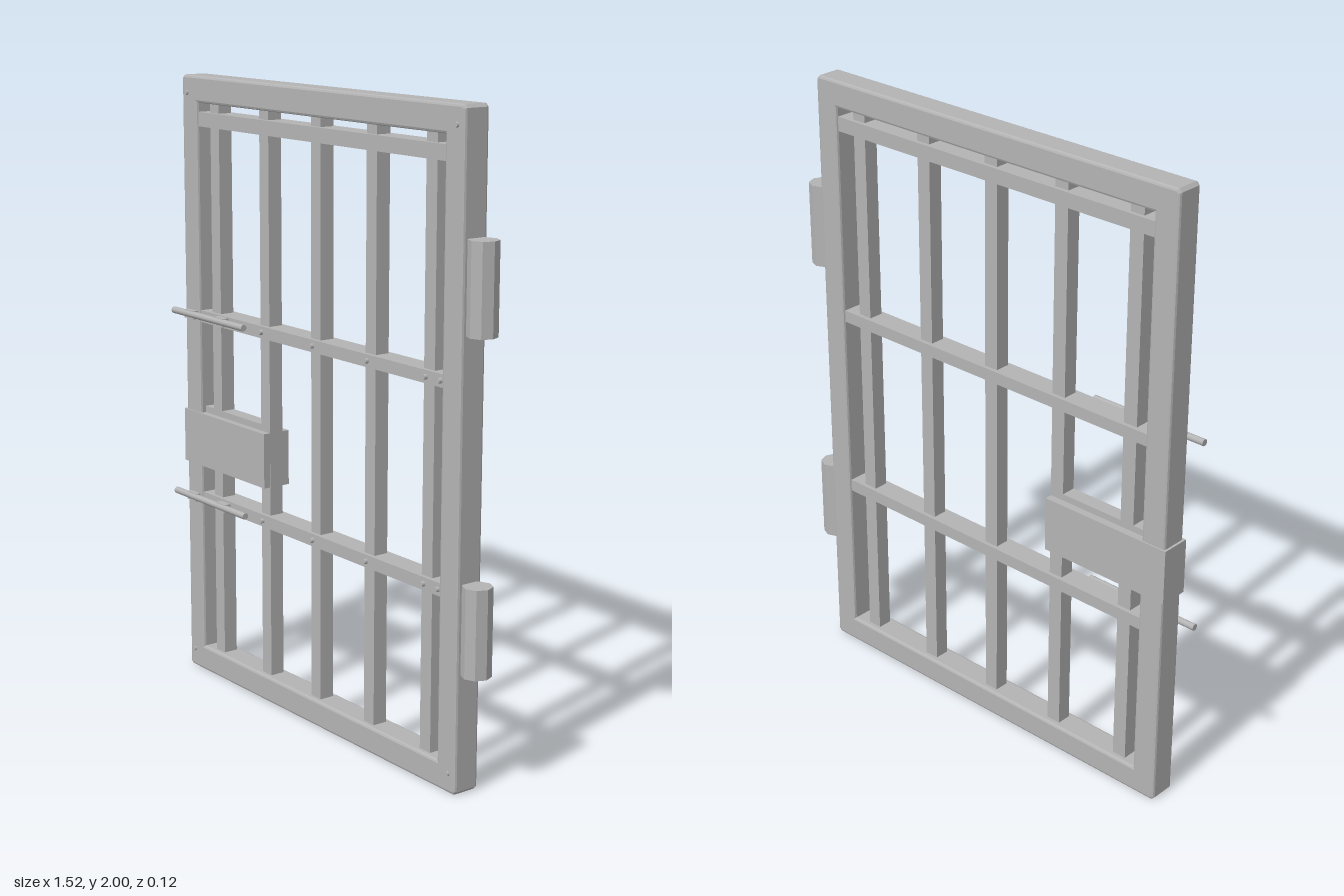
import * as THREE from 'three';

export function createModel() {
  const model = new THREE.Group();
  model.name = 'barredDoor';
  const steel = new THREE.MeshStandardMaterial({ color: 0xb4b4b4 });
  steel.name = 'grey steel';

  const add = (name, geometry, x = 0, y = 0, z = 0) => {
    const mesh = new THREE.Mesh(geometry, steel);
    mesh.name = name;
    mesh.position.set(x, y, z);
    model.add(mesh);
    return mesh;
  };
  // box given by its two opposite corners
  const box = (name, x0, x1, y0, y1, z0, z1) =>
    add(name, new THREE.BoxGeometry(x1 - x0, y1 - y0, z1 - z0),
      (x0 + x1) / 2, (y0 + y1) / 2, (z0 + z1) / 2);

  // outer frame: chamfered outline with a rectangular opening
  const [L, R, B, T, c] = [-0.714, 0.68, 0.003, 2.0, 0.01];
  const points = (list) => list.map(([x, y]) => new THREE.Vector2(x, y));
  const outline = new THREE.Shape(points([
    [L + c, B], [R - c, B], [R, B + c], [R, T - c],
    [R - c, T], [L + c, T], [L, T - c], [L, B + c],
  ]));
  outline.holes.push(new THREE.Path(points([
    [-0.63, 0.088], [-0.63, 1.915], [0.597, 1.915], [0.597, 0.088],
  ])));
  const bevel = 0.008;
  add('frame', new THREE.ExtrudeGeometry(outline, {
    depth: 0.087 - 2 * bevel, bevelThickness: bevel, bevelSize: bevel,
    bevelOffset: -bevel, bevelSegments: 2,
  }), 0, 0, -0.055 + bevel);

  // upright bars
  const barX = [-0.558, -0.288, -0.02, 0.25, 0.52];
  for (const x of barX) box('uprightBar', x - 0.024, x + 0.024, 0.08, 1.92, -0.035, 0.013);

  // cross rails
  for (const [y0, y1] of [[1.84, 1.886], [1.204, 1.243], [0.589, 0.629]])
    box('crossRail', -0.64, 0.605, y0, y1, -0.048, 0.026);

  // rivets on the rails and at the frame corners
  const rivet = (x, y, z) => {
    const geometry = new THREE.CylinderGeometry(0.007, 0.009, 0.012, 8);
    add('rivet', geometry.rotateX(Math.PI / 2), x, y, z);
  };
  for (const y of [1.224, 0.609])
    for (const x of [...barX.slice(1), 0.585]) rivet(x, y, 0.03);
  for (const x of [-0.685, 0.648])
    for (const y of [0.064, 1.944]) rivet(x, y, 0.032);

  // lock case around the frame and its inner block
  box('lockCase', -0.722, -0.265, 0.722, 0.9, -0.06, 0.036);
  box('lockBlock', -0.64, -0.27, 0.74, 0.921, -0.035, 0.013);

  // sliding bolts with their guides
  for (const y of [1.228, 0.61]) {
    const rod = new THREE.CylinderGeometry(0.011, 0.011, 0.404, 10);
    add('slidingBolt', rod.rotateZ(Math.PI / 2), -0.56, y, 0.046);
    for (const x of [-0.667, -0.498])
      box('boltGuide', x - 0.026, x + 0.026, y - 0.015, y + 0.012, 0.022, 0.05);
  }

  // eight-sided hinge barrels
  const barrel = new THREE.CylinderGeometry(0.045, 0.045, 0.27, 8).toNonIndexed();
  barrel.computeVertexNormals();
  for (const y of [1.5, 0.51]) add('hingeBarrel', barrel, 0.715, y, -0.012);

  return model;
}
